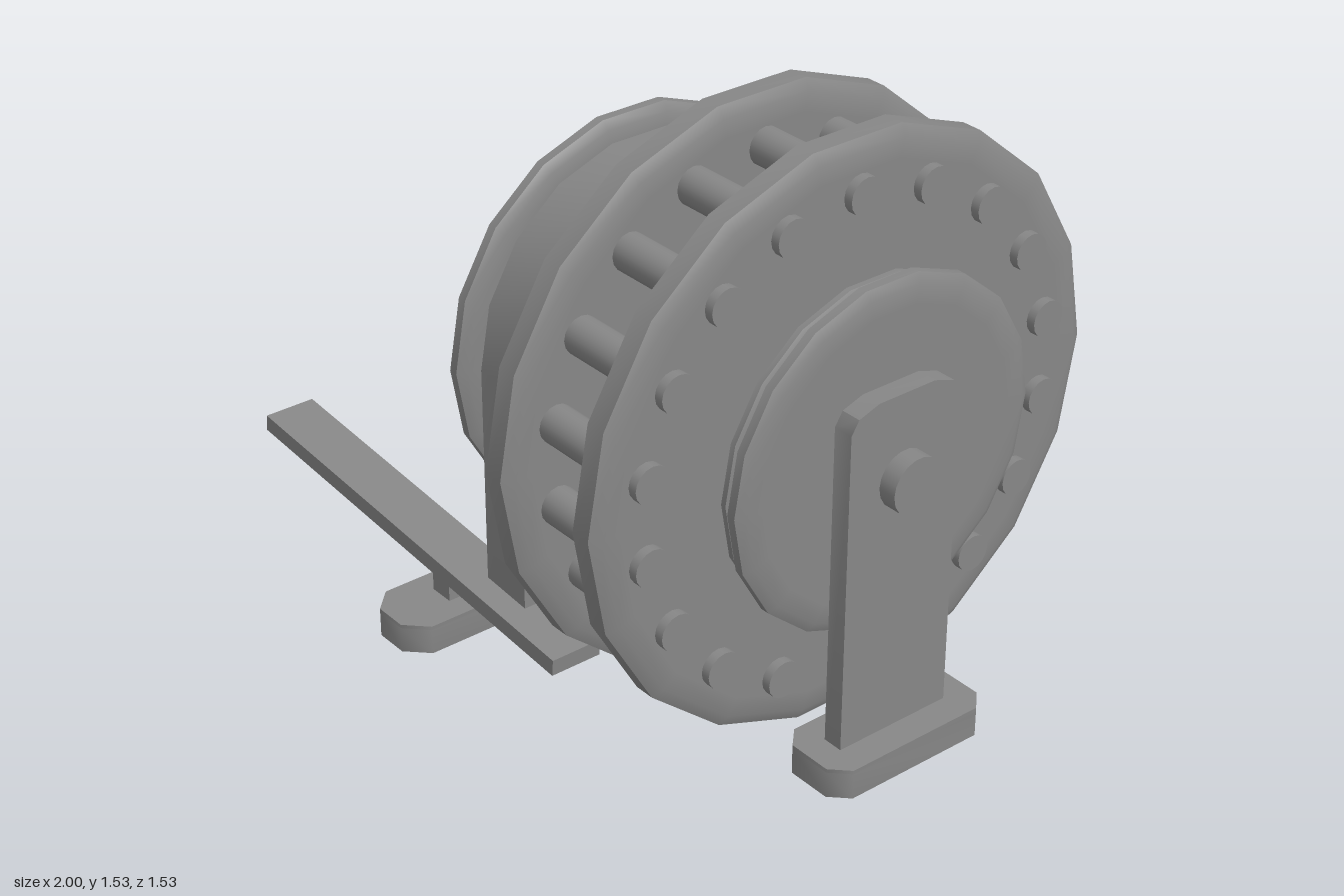
import * as THREE from 'three';
import { toCreasedNormals } from 'three/addons/utils/BufferGeometryUtils.js';

const SIDES = 18, AXIS_Y = 0.773, POST_Z = 0.03;

export function createModel() {
  const model = new THREE.Group();
  const mat = new THREE.MeshStandardMaterial({ color: 0x878787, side: THREE.DoubleSide });

  const add = (name, geo, x = 0, y = 0, z = 0, crease = 0.6) => {
    const mesh = new THREE.Mesh(toCreasedNormals(geo, crease), mat);
    mesh.name = name;
    mesh.position.set(x, y, z);
    model.add(mesh);
    return mesh;
  };

  // Disc lying across the x axis from x0 to x1, flat in the middle with a soft chamfered edge
  const disc = (name, x0, x1, r, bevel = 0.015, drop = 0.03) => {
    const flat = r - drop - 0.05;
    const profile = [[0, x0], [flat, x0], [r - drop, x0], [r, x0 + bevel],
      [r, x1 - bevel], [r - drop, x1], [flat, x1], [0, x1]].map(([a, b]) => new THREE.Vector2(a, b));
    add(name, new THREE.LatheGeometry(profile, SIDES).rotateZ(-Math.PI / 2), 0, AXIS_Y, 0);
  };

  // Plain cylinder along x
  const rod = (name, x0, x1, r, y, z, sides = SIDES) =>
    add(name, new THREE.CylinderGeometry(r, r, x1 - x0, sides).rotateZ(-Math.PI / 2), (x0 + x1) / 2, y, z);

  // Outline drawn in the z-y plane, extruded along x
  const slabX = (shape, width) =>
    new THREE.ExtrudeGeometry(shape, { depth: width, bevelEnabled: false })
      .translate(0, 0, -width / 2).rotateY(Math.PI / 2);

  // Points of a rectangle with cut corners, centred on the origin
  const cutRect = (w, d, c) => {
    const a = w / 2, b = d / 2;
    return [[a - c, -b], [a, -b + c], [a, b - c], [a - c, b], [-a + c, b], [-a, b - c], [-a, -b + c], [-a + c, -b]]
      .map(([x, y]) => new THREE.Vector2(x, y));
  };

  // Hollow foot: a top plate over a thin rim
  const foot = (name, x, z, w, d, c) => {
    const plate = new THREE.Shape(cutRect(w, d, c));
    const rim = plate.clone();
    rim.holes.push(new THREE.Path(cutRect(w - 0.016, d - 0.016, c)));
    const up = (shape, depth) =>
      new THREE.ExtrudeGeometry(shape, { depth, bevelEnabled: false }).rotateX(-Math.PI / 2);
    add(name + 'Plate', up(plate, 0.01), x, 0.07, z, 1);
    add(name + 'Rim', up(rim, 0.07), x, 0, z, 1);
  };

  // Lantern wheel: two big discs joined by a ring of rods
  disc('wheelDiscLeft', 0.627, 0.712, 0.765);
  disc('wheelDiscRight', 0.303, 0.388, 0.765);
  for (let i = 0; i < SIDES; i++) {
    const a = Math.PI / 2 + (i / SIDES) * Math.PI * 2;
    rod('wheelRod', 0.283, 0.737, 0.049, AXIS_Y + 0.623 * Math.sin(a), 0.623 * Math.cos(a), 16);
  }

  // Central drum and end flanges
  rod('drum', 0.1, 0.8, 0.367, AXIS_Y, 0);
  disc('endFlangeInner', 0.745, 0.784, 0.435, 0.012, 0.025);
  disc('endFlangeOuter', 0.79, 0.838, 0.455, 0.012, 0.025);

  // Pulley with its two flanges
  disc('pulleyFlangeOuter', -0.14, -0.085, 0.55, 0.015, 0.025);
  disc('pulleyFlangeInner', 0.08, 0.127, 0.527, 0.012, 0.025);
  rod('pulleyCore', -0.1, 0.1, 0.465, AXIS_Y, 0);

  // Strap over the pulley, hanging down to both treadles
  const strap = new THREE.Shape();
  const arc = (r, i) => [r * Math.cos((i / 9) * Math.PI), AXIS_Y + r * Math.sin((i / 9) * Math.PI)];
  strap.moveTo(0.492, 0.18);
  for (let i = 0; i <= 9; i++) strap.lineTo(...arc(0.492, i));
  strap.lineTo(-0.492, 0.15);
  strap.lineTo(-0.459, 0.15);
  for (let i = 9; i >= 0; i--) strap.lineTo(...arc(0.459, i));
  strap.lineTo(0.459, 0.18);
  strap.closePath();
  add('strap', slabX(strap, 0.155));

  // Upright posts with cut tops, and axle ends
  const post = new THREE.Shape([[-0.167, 0], [0.167, 0], [0.167, 0.935], [0.145, 0.97], [0.085, 0.99],
    [-0.085, 0.99], [-0.145, 0.97], [-0.167, 0.935]].map(([x, y]) => new THREE.Vector2(x, y)));
  for (const [side, x] of [['Right', -0.206], ['Left', 0.893]])
    add('post' + side, slabX(post, 0.055), x, 0, POST_Z);
  rod('axleRight', -0.26, -0.13, 0.075, 0.765, POST_Z);
  rod('axleLeft', 0.825, 0.97, 0.075, 0.765, POST_Z);

  // Feet
  foot('footRight', -0.207, 0.025, 0.205, 1.36, 0.056);
  foot('footLeft', 0.895, 0.028, 0.21, 0.487, 0.045);

  // Treadles tilted opposite ways, each on a small pivot block
  const treadles = [['Front', 0.487, 0.233, 0.123], ['Back', -0.495, 0.094, 0.203]];
  for (const [side, z, y0, y1] of treadles) {
    const bar = add('treadle' + side, new THREE.BoxGeometry(1.283, 0.046, 0.145), -0.36, (y0 + y1) / 2, z);
    bar.rotation.z = Math.atan2(y1 - y0, 1.28);
    add('treadlePivot' + side, new THREE.BoxGeometry(0.07, 0.07, 0.075), -0.207, 0.11, Math.sign(z) * 0.51);
  }

  return model;
}
